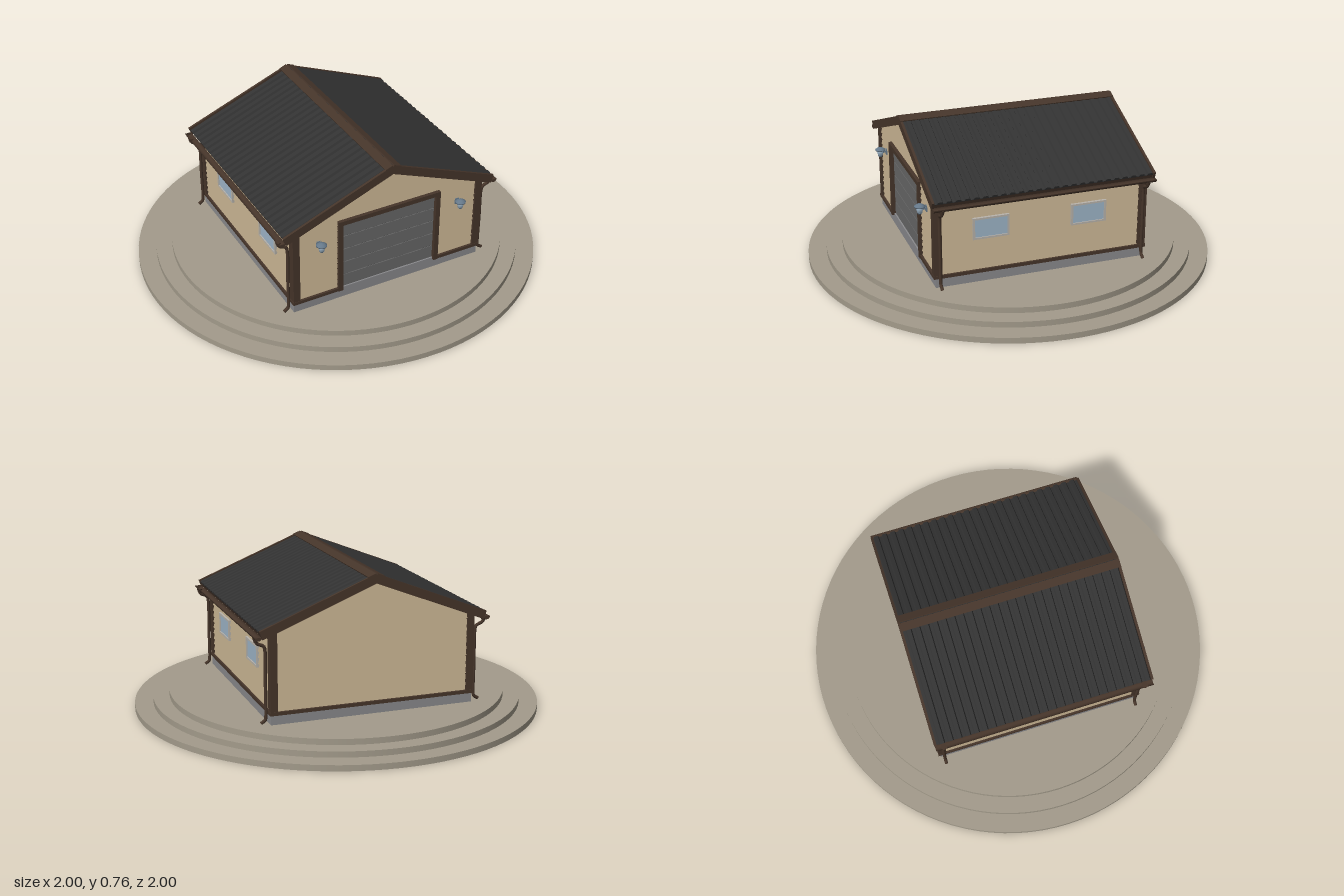
import * as THREE from 'three';

const mat = (color, extra = {}) => new THREE.MeshStandardMaterial({ color, ...extra });
const M = {
  stone: mat(0xa39b8b), concrete: mat(0x8a8a8d), siding: mat(0xbba888), trim: mat(0x46352a),
  metal: mat(0x333333), door: mat(0x686868), groove: mat(0x3c3c3c), frame: mat(0xb9b4ac),
  glass: mat(0x9fb6c9), lamp: mat(0x66798a), gutter: mat(0x46352a, { side: THREE.DoubleSide }),
};
const RIDGE = 0.742, SLOPE = 0.396, ANGLE = Math.atan(SLOPE), RUN = 0.592;
const ROW = 0.03, BASE = 0.14, WALL_X = 0.485, WALL_Z = 0.505;

function add(parent, name, geo, material, x = 0, y = 0, z = 0) {
  const m = new THREE.Mesh(geo, material);
  m.name = name;
  m.position.set(x, y, z);
  parent.add(m);
  return m;
}
const box = (parent, name, material, w, h, d, x, y, z) =>
  add(parent, name, new THREE.BoxGeometry(w, h, d), material, x, y, z);
const poly = (pts) => new THREE.Shape(pts.map(([x, y]) => new THREE.Vector2(x, y)));
const extrude = (shape, depth) => new THREE.ExtrudeGeometry(shape, { depth, bevelEnabled: false, curveSegments: 8 });

// One lap board: its outer face leans out towards the lower edge
function board(parent, pts, y0) {
  const geo = extrude(poly(pts), 0.005);
  const p = geo.attributes.position;
  for (let i = 0; i < p.count; i++) {
    if (p.getZ(i) > 0.001) p.setZ(i, 0.005 + 0.008 * (1 - (p.getY(i) - y0) / ROW));
  }
  geo.computeVertexNormals();
  add(parent, 'sidingBoard', geo, M.siding);
}

// A wall of lap boards facing +z, optionally with a gable top and a door gap
function sidingWall(name, half, gable, gap) {
  const g = new THREE.Group();
  g.name = name;
  const width = (y) => (gable ? Math.max(0.001, Math.min(half, (0.722 - y) / SLOPE)) : half);
  const top = gable ? 0.72 : 0.5;
  for (let y = BASE; y < top - 0.005; y += ROW) {
    const y1 = y + ROW, a = width(y), b = width(y1);
    if (gap && y < 0.49) {
      board(g, [[-a, y], [-gap, y], [-gap, y1], [-b, y1]], y);
      board(g, [[gap, y], [a, y], [b, y1], [gap, y1]], y);
    } else board(g, [[-a, y], [a, y], [b, y1], [-b, y1]], y);
  }
  return g;
}

function roofSide(s) {
  const g = new THREE.Group();
  g.name = s > 0 ? 'leftRoof' : 'rightRoof';
  const slab = new THREE.Group();
  slab.rotation.z = -ANGLE;
  slab.position.y = RIDGE;
  g.add(slab);
  box(slab, 'roofDeck', M.trim, RUN - 0.006, 0.024, 1.062, RUN / 2, -0.013, 0);
  // Ribbed metal sheet
  const n = 25, len = 1.062, pitch = len / n, pts = [[-len / 2, -0.002]];
  for (let i = 0; i < n; i++) {
    const z = -len / 2 + i * pitch;
    pts.push([z, 0.001], [z + pitch * 0.3, 0.001], [z + pitch * 0.42, 0.011], [z + pitch * 0.88, 0.011]);
  }
  pts.push([len / 2, 0.001], [len / 2, -0.002]);
  add(slab, 'roofSheet', extrude(poly(pts.reverse()), RUN).rotateY(Math.PI / 2), M.metal);
  box(slab, 'ridgeCap', M.trim, 0.04, 0.006, 1.086, 0.018, 0.012, 0);
  for (const z of [-0.537, 0.537])
    box(slab, 'bargeBoard', M.trim, RUN + 0.004, 0.042, 0.012, RUN / 2, -0.009, z);
  // Gutter along the eave
  const half = new THREE.CylinderGeometry(0.016, 0.016, 1.08, 12, 1, true, -Math.PI / 2, Math.PI);
  add(g, 'gutter', half.rotateX(Math.PI / 2), M.gutter, 0.56, 0.507, 0);
  for (const z of [-0.54, 0.54]) {
    const cap = new THREE.CircleGeometry(0.016, 12, Math.PI, Math.PI);
    add(g, 'gutterEnd', cap, M.gutter, 0.56, 0.507, z);
  }
  // Downpipes near both corners
  const path = new THREE.CatmullRomCurve3([[0.562, 0.485], [0.558, 0.472], [0.525, 0.455], [0.519, 0.435],
    [0.519, 0.28], [0.519, 0.125], [0.522, 0.108], [0.543, 0.093]].map(([x, y]) => new THREE.Vector3(x, y, 0)));
  for (const z of [-0.5, 0.5]) {
    add(g, 'downpipe', new THREE.TubeGeometry(path, 48, 0.008, 8), M.gutter, 0, 0, z);
    add(g, 'pipeFunnel', new THREE.CylinderGeometry(0.015, 0.008, 0.022, 12), M.trim, 0.562, 0.487, z);
  }
  if (s < 0) g.rotation.y = Math.PI;
  return g;
}

function windowUnit() {
  const g = new THREE.Group();
  g.name = 'window';
  const rect = (w, h) => [[-w, -h], [w, -h], [w, h], [-w, h]];
  const outline = poly(rect(0.088, 0.053));
  outline.holes.push(poly(rect(0.078, 0.044)));
  add(g, 'windowFrame', extrude(outline, 0.02), M.frame);
  box(g, 'windowPane', M.glass, 0.158, 0.09, 0.015, 0, 0, 0.0075);
  return g;
}

function wallLamp(x) {
  const g = new THREE.Group();
  g.name = 'wallLamp';
  const lathe = (pts) => new THREE.LatheGeometry(pts.map(([r, y]) => new THREE.Vector2(r, y)), 16);
  add(g, 'lampShade', lathe([[0, -0.024], [0.011, -0.024], [0.019, 0.008], [0, 0.008]]), M.glass);
  add(g, 'lampCap', lathe([[0, 0.006], [0.025, 0.006], [0.025, 0.011], [0.014, 0.019], [0, 0.022]]), M.lamp);
  add(g, 'lampFoot', new THREE.CylinderGeometry(0.012, 0.008, 0.006, 12), M.lamp, 0, -0.026, 0);
  box(g, 'lampArm', M.lamp, 0.008, 0.008, 0.036, 0, -0.005, -0.02);
  box(g, 'lampPlate', M.lamp, 0.02, 0.03, 0.006, 0, -0.005, -0.032);
  g.position.set(x, 0.436, 0.55);
  return g;
}

export function createModel() {
  const root = new THREE.Group();
  root.name = 'garage';

  // Stepped round plinth
  [1, 0.91, 0.83].forEach((r, i) =>
    add(root, 'plinthStep', new THREE.CylinderGeometry(r, r, 0.0283, 96), M.stone, 0, 0.01415 + i * 0.0283, 0));

  const house = new THREE.Group();
  house.name = 'house';
  house.position.z = 0.006;
  root.add(house);

  // Foundation and solid core behind the boards
  box(house, 'foundation', M.concrete, 1, 0.056, 1.036, 0, 0.112, 0);
  const core = extrude(poly([[-WALL_X, 0.13], [WALL_X, 0.13], [WALL_X, 0.528], [0, 0.72], [-WALL_X, 0.528]]), 2 * WALL_Z);
  add(house, 'wallCore', core, M.siding, 0, 0, -WALL_Z);

  // Siding on all four sides
  const front = sidingWall('frontSiding', WALL_X, true, 0.25);
  front.position.z = WALL_Z;
  const back = sidingWall('backSiding', WALL_X, true, 0);
  back.position.z = -WALL_Z;
  back.rotation.y = Math.PI;
  house.add(front, back);
  for (const s of [-1, 1]) {
    const side = sidingWall('sideSiding', WALL_Z, false, 0);
    side.position.x = s * WALL_X;
    side.rotation.y = s * Math.PI / 2;
    house.add(side);
    for (const z of [-0.23, 0.25]) {
      const w = windowUnit();
      w.position.set(s * WALL_X, 0.354, z);
      w.rotation.y = s * Math.PI / 2;
      house.add(w);
    }
    // Trim boards
    for (const e of [-1, 1]) box(house, 'cornerTrim', M.trim, 0.034, 0.385, 0.04, s * 0.486, 0.328, e * 0.506);
    box(house, 'sideSill', M.trim, 0.02, 0.016, 1.056, s * 0.496, 0.139, 0);
    box(house, 'eaveTrim', M.trim, 0.02, 0.02, 1.04, s * 0.494, 0.508, 0);
    box(house, 'frontSill', M.trim, 0.25, 0.016, 0.024, s * 0.38, 0.139, 0.516);
    box(house, 'doorPost', M.trim, 0.023, 0.39, 0.03, s * 0.259, 0.325, 0.515);
    house.add(wallLamp(s * 0.37));
    house.add(roofSide(s));
  }
  box(house, 'backSill', M.trim, 1.01, 0.016, 0.024, 0, 0.139, -0.516);
  box(house, 'doorHeader', M.trim, 0.541, 0.022, 0.03, 0, 0.51, 0.515);

  // Sectional door
  box(house, 'doorBacking', M.groove, 0.5, 0.37, 0.006, 0, 0.318, 0.504);
  for (let i = 0; i < 5; i++)
    box(house, 'doorPanel', M.door, 0.496, 0.069, 0.012, 0, 0.17 + i * 0.0728, 0.505);
  return root;
}
